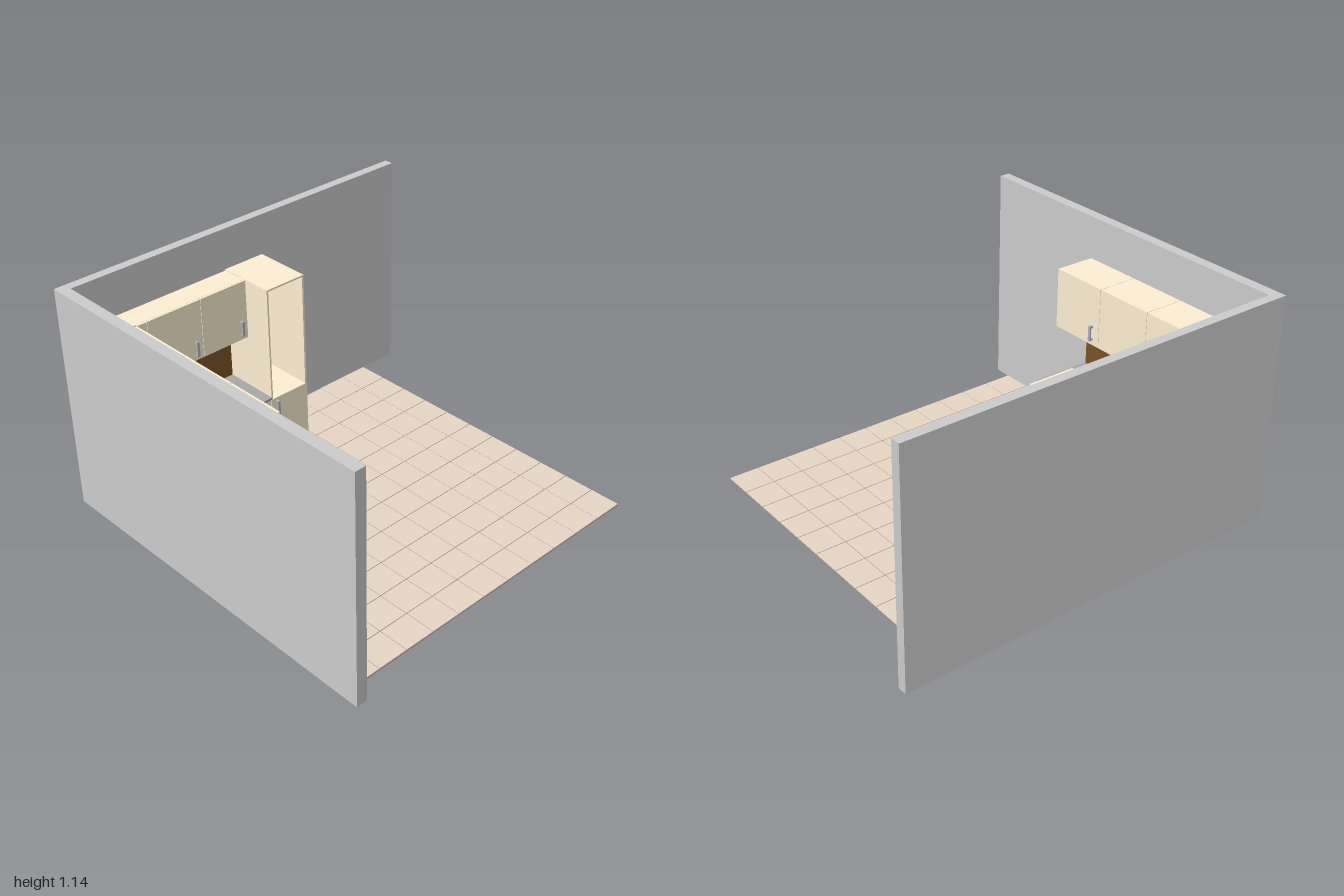
import * as THREE from 'three';

const mat = (color) => new THREE.MeshStandardMaterial({ color });
const GREY = mat(0xcccccc), CREAM = mat(0xfdefd3), BROWN = mat(0x795226);
const TILE = mat(0xe7d6c5), GROUT = mat(0xa09488), STONE = mat(0xa8a8a8);
const DARK = mat(0x2c2c2c), STEEL = mat(0xb4b4b8);

export function createModel() {
  const root = new THREE.Group();
  root.name = 'cornerKitchen';

  const group = (name) => {
    const g = new THREE.Group();
    g.name = name;
    root.add(g);
    return g;
  };
  // Box given by its limits on each axis
  const box = (parent, name, m, x0, x1, y0, y1, z0, z1) => {
    const mesh = new THREE.Mesh(new THREE.BoxGeometry(x1 - x0, y1 - y0, z1 - z0), m);
    mesh.position.set((x0 + x1) / 2, (y0 + y1) / 2, (z0 + z1) / 2);
    mesh.name = name;
    parent.add(mesh);
    return mesh;
  };
  // Bar handle on two posts; side 'z' faces the front, 'x' faces the right of the room
  const handle = (parent, side, x, y, z, length, upright) => {
    const g = new THREE.Group();
    g.name = 'handle';
    const h = length / 2;
    box(g, 'bar', STEEL, -h, h, -0.007, 0.007, 0.011, 0.018);
    for (const s of [-1, 1]) {
      const c = s * (h - 0.006);
      box(g, 'post', STEEL, c - 0.005, c + 0.005, -0.006, 0.006, 0, 0.012);
    }
    const turn = new THREE.Group();
    if (upright) g.rotation.z = Math.PI / 2;
    turn.name = 'handleMount';
    turn.add(g);
    if (side === 'x') turn.rotation.y = Math.PI / 2;
    turn.position.set(x, y, z);
    parent.add(turn);
  };

  // Walls
  box(root, 'backWall', GREY, -1, 1, 0.004, 1.137, -0.935, -0.888);
  box(root, 'sideWall', GREY, -1, -0.946, 0.004, 1.137, -0.888, 0.935);

  // Tiled floor, 11 by 11
  const floor = group('floor');
  const FX = -0.946, FZ = -0.888, PITCH = 1.734 / 11;
  box(floor, 'floorBase', GROUT, FX, FX + 1.734, 0, 0.004, FZ, FZ + 1.734);
  const tileGeo = new THREE.BoxGeometry(PITCH - 0.004, 0.003, PITCH - 0.004);
  const tiles = new THREE.InstancedMesh(tileGeo, TILE, 121);
  tiles.name = 'tiles';
  const m4 = new THREE.Matrix4();
  for (let i = 0; i < 121; i++) {
    m4.makeTranslation(FX + PITCH * ((i % 11) + 0.5), 0.0055, FZ + PITCH * (Math.floor(i / 11) + 0.5));
    tiles.setMatrixAt(i, m4);
  }
  floor.add(tiles);

  // Brown plinth and splashbacks
  box(root, 'sidePlinth', BROWN, -0.946, -0.65, 0.007, 0.032, -0.888, 0.217);
  box(root, 'backPlinth', BROWN, -0.65, 0.115, 0.007, 0.032, -0.888, -0.592);
  box(root, 'sideSplashback', BROWN, -0.946, -0.94, 0.345, 0.695, -0.888, 0.222);
  box(root, 'backSplashback', BROWN, -0.94, -0.112, 0.345, 0.695, -0.888, -0.882);

  // Base units along the side wall, with an open appliance niche
  const side = group('sideBaseUnits');
  for (const z of [0.219, -0.075, -0.085, -0.39, -0.4])
    box(side, 'sidePanel', CREAM, -0.946, -0.65, 0.032, 0.336, z - 0.009, z);
  box(side, 'bottomPanel', CREAM, -0.946, -0.65, 0.032, 0.042, -0.888, 0.21);
  box(side, 'nicheBase', CREAM, -0.946, -0.65, 0.042, 0.106, -0.39, -0.094);
  const sideFronts = [[-0.083, 0.219, 0.336], [-0.388, -0.086, 0.106], [-0.533, -0.391, 0.336], [-0.59, -0.536, 0.336]];
  for (const [z0, z1, top] of sideFronts)
    box(side, 'front', CREAM, -0.65, -0.637, 0.034, top, z0, z1);
  handle(side, 'x', -0.637, 0.312, 0.073, 0.076);
  handle(side, 'x', -0.637, 0.076, -0.235, 0.076);
  handle(side, 'x', -0.637, 0.312, -0.457, 0.076);

  // Base units along the back wall
  const back = group('backBaseUnits');
  for (const x of [-0.345, -0.334, -0.12])
    box(back, 'sidePanel', CREAM, x, x + 0.009, 0.032, 0.336, -0.888, -0.6);
  box(back, 'bottomPanel', CREAM, -0.65, -0.12, 0.032, 0.042, -0.888, -0.6);
  box(back, 'wideDoor', CREAM, -0.634, -0.336, 0.034, 0.336, -0.6, -0.588);
  handle(back, 'z', -0.465, 0.307, -0.588, 0.175);
  for (let i = 0; i < 4; i++) {
    const y = 0.034 + i * 0.0757;
    box(back, 'drawerFront', CREAM, -0.333, -0.114, y, y + 0.0735, -0.6, -0.588);
    handle(back, 'z', -0.222, y + 0.037, -0.588, 0.175);
  }

  // L-shaped worktop with a cut-out for the basin (shape y is -z)
  const top = new THREE.Shape([[-0.946, 0.888], [-0.946, -0.23], [-0.628, -0.23], [-0.628, 0.583],
    [-0.112, 0.583], [-0.112, 0.888]].map(([x, y]) => new THREE.Vector2(x, y)));
  const rect = (x0, x1, y0, y1) => new THREE.Path([[x0, y0], [x0, y1], [x1, y1], [x1, y0]]
    .map(([x, y]) => new THREE.Vector2(x, y)));
  top.holes.push(rect(-0.835, -0.725, 0.47, 0.65));
  const flat = (name, shape, depth, y, m) => {
    const mesh = new THREE.Mesh(new THREE.ExtrudeGeometry(shape, { depth, bevelEnabled: false }), m);
    mesh.rotation.x = -Math.PI / 2;
    mesh.position.y = y;
    mesh.name = name;
    return mesh;
  };
  root.add(flat('worktop', top, 0.012, 0.336, STONE));

  // Sink: rim, basin walls and drainer ribs
  const sink = group('sink');
  const rim = new THREE.Shape(rect(-0.875, -0.708, 0.45, 0.86).getPoints());
  rim.holes.push(rect(-0.833, -0.727, 0.472, 0.648));
  sink.add(flat('rim', rim, 0.006, 0.348, DARK));
  box(sink, 'basinFloor', DARK, -0.835, -0.725, 0.255, 0.26, -0.65, -0.47);
  for (const x of [-0.835, -0.728]) box(sink, 'basinWall', DARK, x, x + 0.003, 0.255, 0.35, -0.65, -0.47);
  for (const z of [-0.65, -0.473]) box(sink, 'basinWall', DARK, -0.835, -0.725, 0.255, 0.35, z, z + 0.003);
  for (let i = 0; i < 6; i++) {
    const x = -0.828 + i * 0.019;
    box(sink, 'drainerRib', DARK, x, x + 0.006, 0.353, 0.357, -0.84, -0.68);
  }

  // Gooseneck tap
  const tap = group('tap');
  const path = [new THREE.Vector3(-0.853, 0.35, -0.72), new THREE.Vector3(-0.853, 0.42, -0.72)];
  for (let i = 0; i <= 8; i++) {
    const a = Math.PI * (1 - i / 8);
    path.push(new THREE.Vector3(-0.828 + 0.025 * Math.cos(a), 0.492 + 0.025 * Math.sin(a), -0.72));
  }
  const spout = new THREE.Mesh(new THREE.TubeGeometry(new THREE.CatmullRomCurve3(path), 40, 0.006, 10), STEEL);
  spout.name = 'spout';
  const foot = new THREE.Mesh(new THREE.CylinderGeometry(0.011, 0.012, 0.03, 16), STEEL);
  foot.position.set(-0.853, 0.366, -0.72);
  foot.name = 'foot';
  const tip = new THREE.Mesh(new THREE.CylinderGeometry(0.007, 0.007, 0.014, 12), STEEL);
  tip.position.set(-0.803, 0.488, -0.72);
  tip.name = 'tip';
  tap.add(spout, foot, tip);

  // Wall cabinets: bodies, doors and upright handles
  const upper = group('wallCabinets');
  const Y0 = 0.622, Y1 = 0.926;
  for (const [z0, z1] of [[-0.888, -0.393], [-0.391, -0.085], [-0.083, 0.217]])
    box(upper, 'sideCabinet', CREAM, -0.94, -0.742, Y0, Y1, z0, z1);
  for (const [z0, z1, hz] of [[-0.738, -0.393, -0.43], [-0.391, -0.085, -0.342], [-0.083, 0.217, -0.037]]) {
    box(upper, 'sideDoor', CREAM, -0.741, -0.73, Y0, Y1, z0, z1);
    handle(upper, 'x', -0.73, 0.685, hz, 0.078, true);
  }
  for (const [x0, x1] of [[-0.742, -0.678], [-0.676, -0.379], [-0.377, -0.113]])
    box(upper, 'backCabinet', CREAM, x0, x1, Y0, Y1, -0.882, -0.752);
  for (const [x0, x1, hx] of [[-0.73, -0.678], [-0.676, -0.379, -0.42], [-0.377, -0.113, -0.15]]) {
    box(upper, 'backDoor', CREAM, x0, x1, Y0, Y1, -0.751, -0.74);
    if (hx) handle(upper, 'z', hx, 0.685, -0.74, 0.078, true);
  }

  // Tall unit: open, backless upper bay above a closed door
  const tall = group('tallUnit');
  box(tall, 'leftPanel', CREAM, -0.111, -0.102, 0.032, 0.929, -0.888, -0.588);
  box(tall, 'rightPanel', CREAM, 0.106, 0.116, 0.032, 0.929, -0.888, -0.588);
  box(tall, 'topPanel', CREAM, -0.102, 0.106, 0.92, 0.929, -0.888, -0.588);
  box(tall, 'shelf', CREAM, -0.102, 0.106, 0.325, 0.334, -0.888, -0.6);
  box(tall, 'bottomPanel', CREAM, -0.102, 0.106, 0.032, 0.042, -0.888, -0.6);
  box(tall, 'lowerDoor', CREAM, -0.111, 0.116, 0.034, 0.334, -0.6, -0.586);
  handle(tall, 'z', -0.08, 0.282, -0.586, 0.078, true);

  return root;
}
